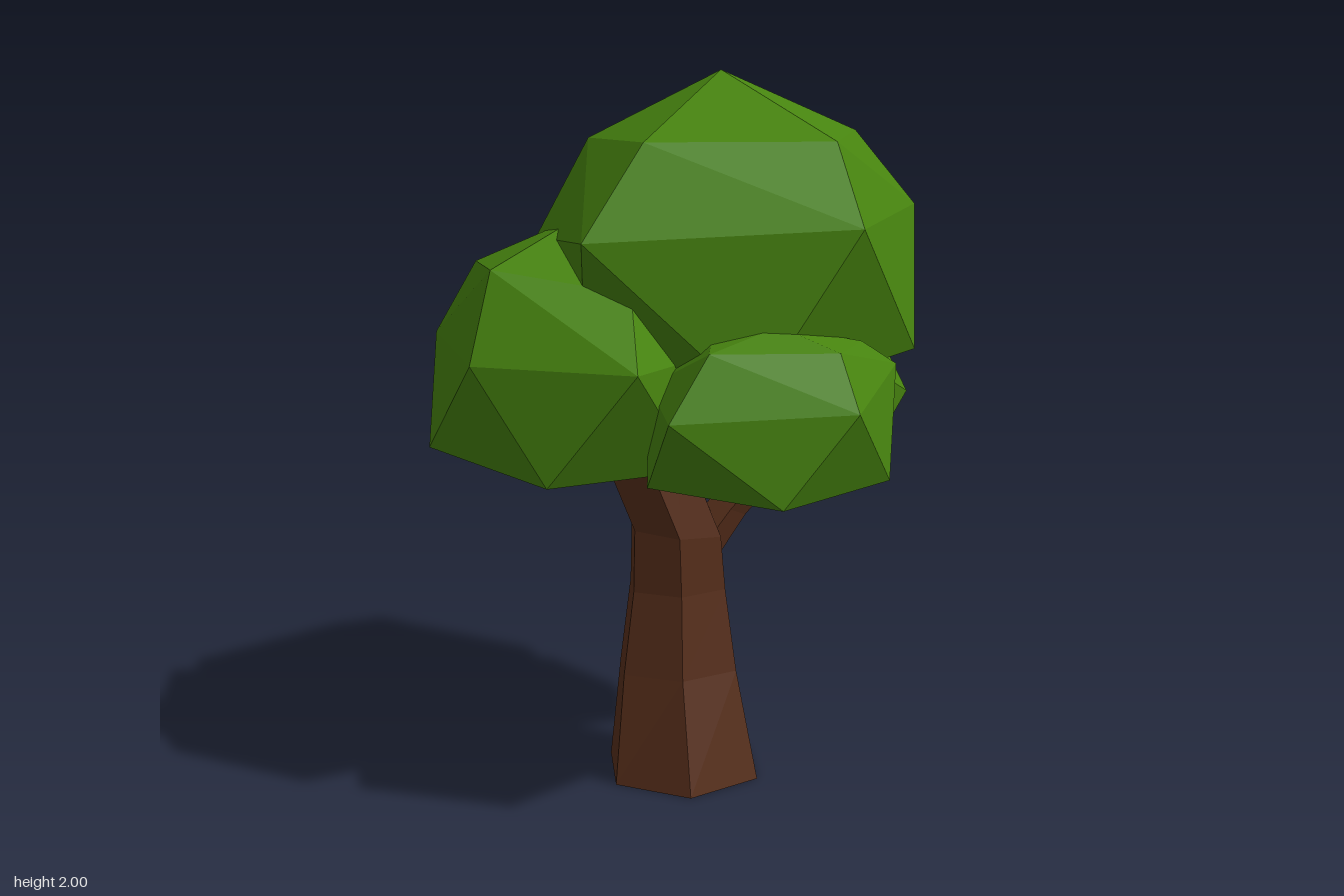
import * as THREE from 'three';
import { ConvexGeometry } from 'three/addons/geometries/ConvexGeometry.js';

const leaf = new THREE.MeshStandardMaterial({ color: 0x47840f, flatShading: true });
const bark = new THREE.MeshStandardMaterial({ color: 0x582f1b, flatShading: true });

// Faceted foliage clump wrapped around a few corner points
function clump(name, corners) {
  const mesh = new THREE.Mesh(
    new ConvexGeometry(corners.map((c) => new THREE.Vector3(...c))), leaf);
  mesh.name = name;
  return mesh;
}

// Faceted limb skinned over rings [x, y, z, radiusX, radiusZ, tilt], capped at both ends
function limb(name, rings, sides) {
  const pos = [];
  const index = [];
  for (const [x, y, z, rx, rz, tilt] of rings) {
    for (let i = 0; i < sides; i++) {
      const a = (i / sides) * Math.PI * 2;
      const dx = Math.sin(a) * rx;
      pos.push(x + dx, y + dx * tilt, z + Math.cos(a) * rz);
    }
  }
  for (let r = 0; r < rings.length - 1; r++) {
    for (let i = 0; i < sides; i++) {
      const a = r * sides + i;
      const b = r * sides + ((i + 1) % sides);
      index.push(a, b, b + sides, a, b + sides, a + sides);
    }
  }
  const top = (rings.length - 1) * sides;
  for (let i = 1; i < sides - 1; i++) {
    index.push(0, i + 1, i, top, top + i, top + i + 1);
  }
  const g = new THREE.BufferGeometry();
  g.setAttribute('position', new THREE.Float32BufferAttribute(pos, 3));
  g.setIndex(index);
  const flat = g.toNonIndexed();
  flat.computeVertexNormals();
  const mesh = new THREE.Mesh(flat, bark);
  mesh.name = name;
  return mesh;
}

export function createModel() {
  const tree = new THREE.Group();
  tree.name = 'tree';

  // Trunk, leaning into the thick main branch
  tree.add(limb('trunk', [
    [-0.005, 0, 0.015, 0.235, 0.225, 0],
    [-0.02, 0.32, 0.02, 0.185, 0.14, 0],
    [-0.02, 0.56, 0.01, 0.15, 0.12, 0],
    [-0.025, 0.73, 0.02, 0.14, 0.11, -0.1],
    [-0.13, 1.0, 0.03, 0.12, 0.11, 0.3],
  ], 6));

  // Thin side branch
  tree.add(limb('sideBranch', [
    [0.03, 0.65, -0.03, 0.06, 0.07, -0.6],
    [0.13, 0.78, -0.04, 0.05, 0.06, -0.6],
    [0.36, 1.03, -0.06, 0.045, 0.05, -0.6],
  ], 5));

  // Large top crown
  tree.add(clump('topCrown', [
    [0.11, 2.0, -0.09],
    [-0.25, 1.81, -0.18], [0.11, 1.72, -0.52], [0.51, 1.82, -0.22],
    [0.37, 1.84, 0.27], [-0.13, 1.84, 0.24],
    [0.41, 1.64, 0.46], [-0.30, 1.60, 0.37], [-0.40, 1.54, -0.15],
    [0.12, 1.50, -0.67], [0.70, 1.60, -0.28],
    [0.63, 1.25, 0.09], [0.13, 1.20, 0.465], [-0.28, 1.22, 0.10],
    [-0.15, 1.22, -0.42], [0.38, 1.22, -0.48], [0.12, 1.18, 0],
  ]));

  // Big clump on the right side
  tree.add(clump('rightCrown', [
    [-0.28, 1.62, 0],
    [-0.53, 1.51, 0.21], [-0.57, 1.46, -0.24], [-0.15, 1.45, -0.30], [-0.17, 1.46, 0.32],
    [-0.59, 1.28, 0.33], [-0.69, 1.24, -0.33], [-0.12, 1.22, -0.49],
    [-0.17, 1.29, 0.53], [0.12, 1.25, 0.05],
    [-0.71, 0.98, 0], [-0.40, 0.98, 0.45], [-0.40, 0.98, -0.45],
    [0.0, 0.97, 0.28], [0.02, 0.97, -0.26], [-0.26, 0.92, 0],
  ]));

  // Front clump
  tree.add(clump('frontCrown', [
    [0.20, 1.39, 0.43],
    [0.01, 1.34, 0.52], [0.34, 1.34, 0.54], [0.44, 1.32, 0.30], [0.05, 1.36, 0.28],
    [-0.10, 1.18, 0.60], [0.37, 1.21, 0.66], [0.56, 1.23, 0.18], [-0.12, 1.2, 0.25],
    [0.18, 0.97, 0.67], [0.50, 0.97, 0.42], [-0.14, 0.97, 0.43],
    [0.38, 0.97, 0.12], [0.0, 0.97, 0.15], [0.20, 0.91, 0.34],
  ]));

  // Small clump on the left side
  tree.add(clump('leftCrown', [
    [0.38, 1.28, -0.10],
    [0.58, 1.23, -0.10], [0.50, 1.20, -0.34], [0.50, 1.21, 0.14], [0.18, 1.2, -0.25],
    [0.64, 1.10, -0.04], [0.40, 1.12, -0.40], [0.45, 1.05, 0.16],
    [0.15, 1.08, -0.32], [0.12, 1.08, 0.08],
    [0.42, 0.95, -0.31], [0.49, 0.92, -0.22], [0.51, 0.94, 0.08],
    [0.22, 0.95, -0.20], [0.24, 0.95, 0.08],
  ]));

  return tree;
}
